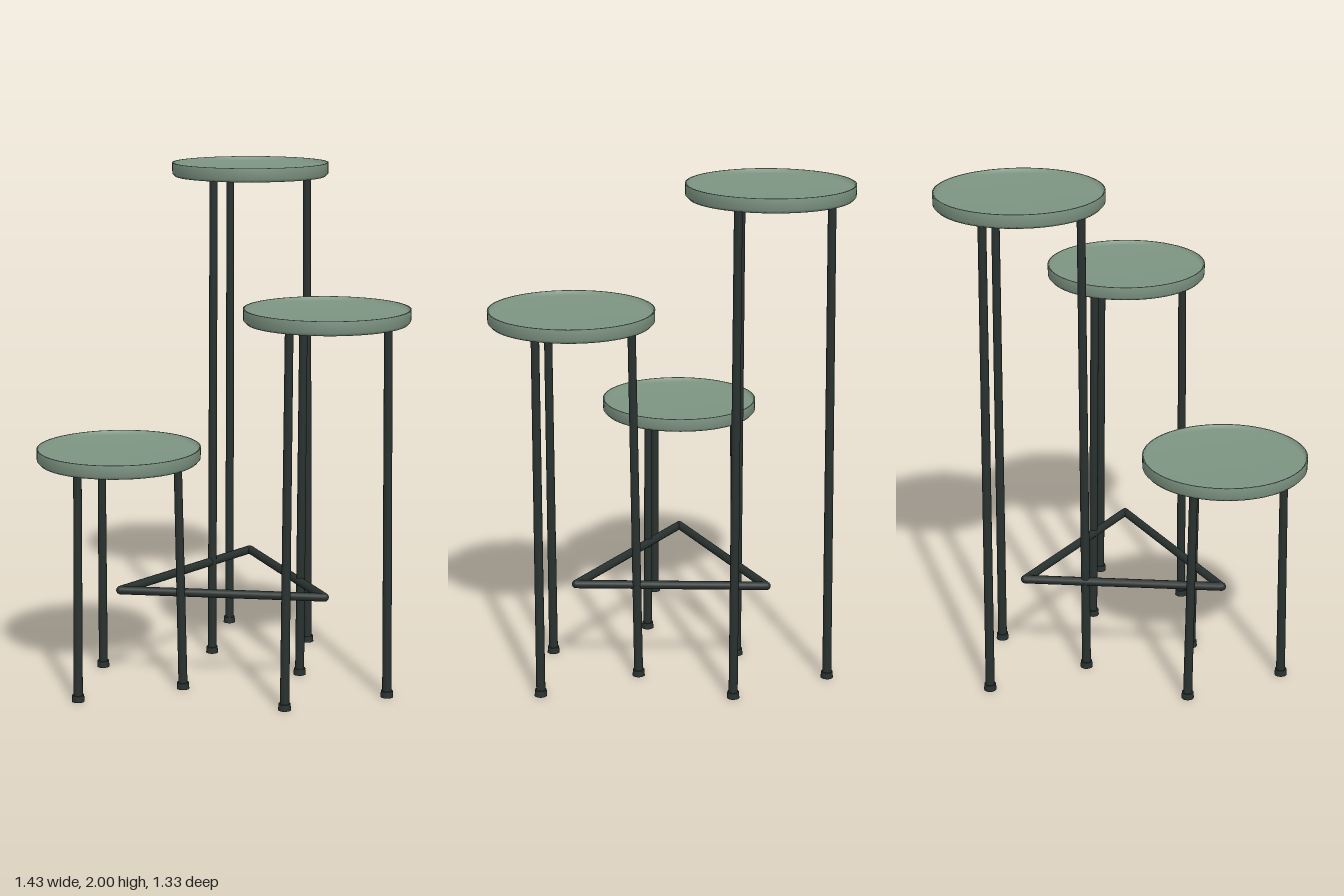
import * as THREE from 'three';

const green = new THREE.MeshStandardMaterial({ color: 0x7d9482 });
green.name = 'sage green';
const dark = new THREE.MeshStandardMaterial({ color: 0x28312f });
dark.name = 'dark metal';

const UP = new THREE.Vector3(0, 1, 0);

// Round bar between two points, optionally tapered or with rounded ends
function rod(name, a, b, rBottom, rTop, rounded = false) {
  const dir = b.clone().sub(a);
  const len = dir.length();
  const geo = rounded
    ? new THREE.CapsuleGeometry(rBottom, len, 4, 12)
    : new THREE.CylinderGeometry(rTop, rBottom, len, 16);
  const mesh = new THREE.Mesh(geo, dark);
  mesh.name = name;
  mesh.position.copy(a).add(b).multiplyScalar(0.5);
  mesh.quaternion.setFromUnitVectors(UP, dir.normalize());
  return mesh;
}

// Shallow round tray with a low lip, softly shaded
function makeTray(height) {
  const profile = [
    [0, 0], [0.303, 0], [0.314, 0.012], [0.315, 0.055],
    [0.309, 0.055], [0.302, 0.037], [0, 0.037],
  ].map(([x, y]) => new THREE.Vector2(x, y));
  const tray = new THREE.Mesh(new THREE.LatheGeometry(profile, 64), green);
  tray.name = 'trayTop';
  tray.scale.z = 1.027;
  tray.position.y = height - 0.055;
  return tray;
}

// One three-legged stand
function makeStand(name, x, z, height) {
  const stand = new THREE.Group();
  stand.name = name;
  stand.position.set(x, 0, z);
  stand.add(makeTray(height));
  for (let i = 0; i < 3; i++) {
    const a = (i * Math.PI * 2) / 3;
    const at = (r, y) => new THREE.Vector3(Math.cos(a) * r, y, Math.sin(a) * r);
    stand.add(rod('leg', at(0.246, 0.01), at(0.23, height - 0.045), 0.018, 0.016));
    stand.add(rod('foot', at(0.246, 0), at(0.246, 0.025), 0.025, 0.023));
  }
  return stand;
}

export function createModel() {
  const model = new THREE.Group();
  model.name = 'tieredStand';

  const stands = [
    ['lowStand', -0.4, 0.337, 0.957],
    ['middleStand', 0.396, 0.304, 1.51],
    ['tallStand', 0.002, -0.341, 2.0],
  ];
  for (const s of stands) model.add(makeStand(...s));

  // Triangle of bars joining the three stands
  const nodes = stands.map(([, x, z]) => new THREE.Vector3(x, 0.387, z));
  nodes.forEach((p, i) => {
    model.add(rod('connectingBar', p, nodes[(i + 1) % 3], 0.017, 0.017, true));
  });

  return model;
}
